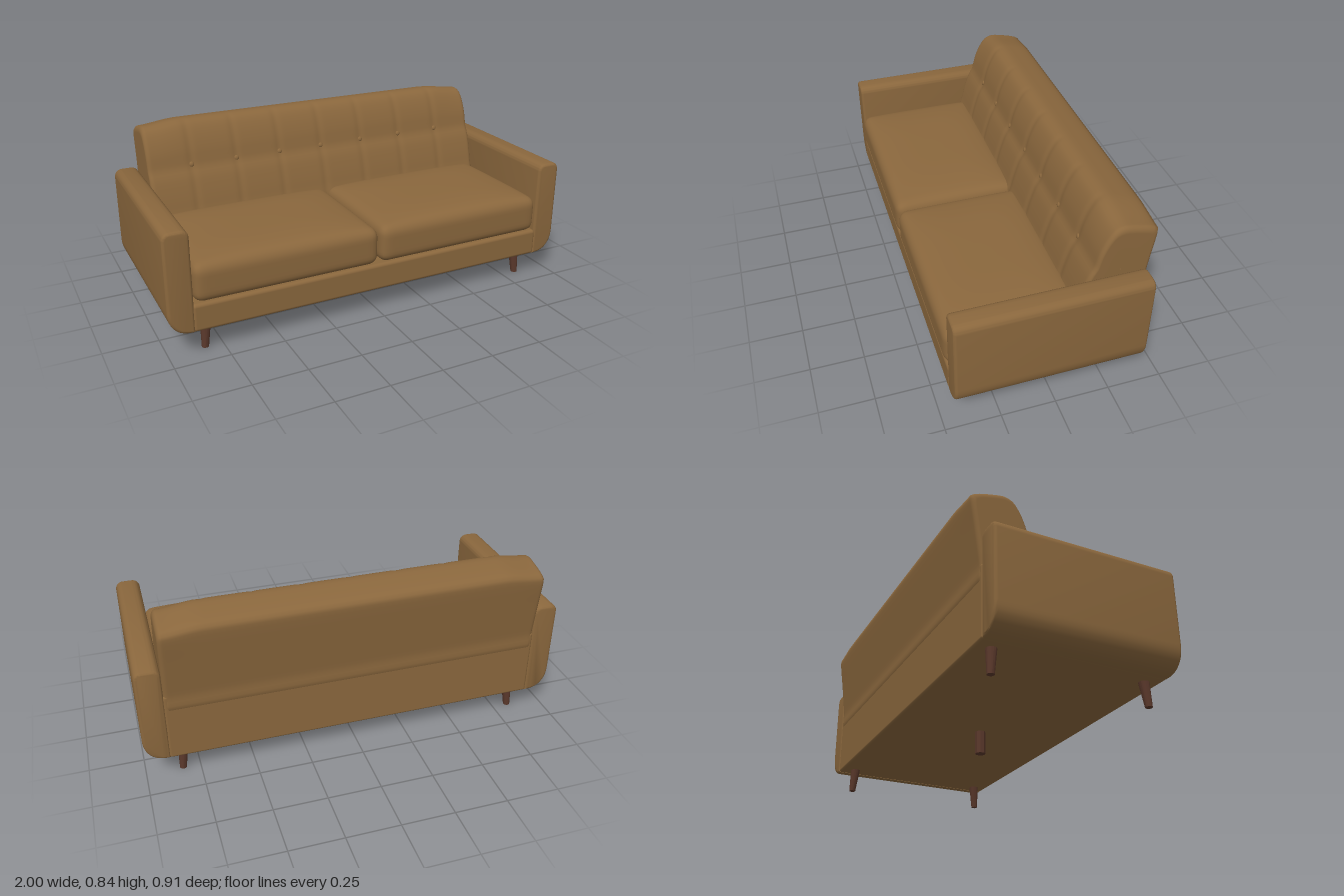
import * as THREE from 'three';
import { mergeVertices, toCreasedNormals } from 'three/addons/utils/BufferGeometryUtils.js';
import { RoundedBoxGeometry } from 'three/addons/geometries/RoundedBoxGeometry.js';

const upholstery = new THREE.MeshStandardMaterial({ color: 0x8a673d });
upholstery.name = 'tan upholstery';
const wood = new THREE.MeshStandardMaterial({ color: 0x5a382b });
wood.name = 'dark wood';

const BUTTONS = [-3, -2, -1, 0, 1, 2, 3].map(i => i * 0.225);

function addMesh(parent, name, geometry, material, x = 0, y = 0, z = 0) {
  const mesh = new THREE.Mesh(geometry, material);
  mesh.name = name;
  mesh.position.set(x, y, z);
  parent.add(mesh);
  return mesh;
}

function smooth(geometry) {
  geometry.deleteAttribute('uv');
  geometry.deleteAttribute('normal');
  const merged = mergeVertices(geometry, 1e-5);
  merged.computeVertexNormals();
  return merged;
}

// Box with rounded edges and a crowned top
function cushionGeometry(w, h, d, r, crown) {
  const geo = new THREE.BoxGeometry(2, 2, 2, 28, 16, 28);
  const pos = geo.attributes.position;
  const half = new THREE.Vector3(w / 2, h / 2, d / 2);
  const inner = half.clone().subScalar(r);
  const p = new THREE.Vector3(), core = new THREE.Vector3();
  for (let i = 0; i < pos.count; i++) {
    p.fromBufferAttribute(pos, i);
    p.set(...p.toArray().map(u => Math.sin(u * Math.PI / 2))).multiply(half);
    core.copy(p).clamp(inner.clone().negate(), inner);
    p.sub(core).setLength(r).add(core);
    const u = p.x / half.x, v = p.z / half.z;
    if (p.y > 0) p.y += crown * (1 - u ** 4) * (1 - v ** 4) * p.y / half.y;
    pos.setXYZ(i, p.x, p.y, p.z);
  }
  return smooth(geo);
}

// Backrest: side profile swept across the width, with stitched channels
function backrestGeometry() {
  const profile = [
    [-0.115, 0.36], [-0.125, 0.45], [-0.163, 0.58], [-0.187, 0.625], [-0.192, 0.645],
    [-0.207, 0.71], [-0.235, 0.78], [-0.265, 0.822], [-0.3, 0.835], [-0.36, 0.826],
    [-0.435, 0.804], [-0.455, 0.79], [-0.455, 0.765], [-0.436, 0.61], [-0.415, 0.45], [-0.405, 0.36],
  ].map(([z, y]) => new THREE.Vector3(0, y, z));
  const curve = new THREE.CatmullRomCurve3(profile, true, 'centripetal');
  const N = 72, ring = curve.getSpacedPoints(N).slice(0, N);
  const centre = new THREE.Vector2(-0.3, 0.6), W = 0.885, R = 0.022;

  // Stations: [x, scale of the ring]
  const end = [[W, 0.01], [W, 0.5]];
  for (let k = 0; k <= 6; k++) {
    const a = k / 6 * Math.PI / 2;
    end.push([W - R * (1 - Math.sin(Math.PI / 2 - a)), 1 - R * (1 - Math.sin(a)) / 0.16]);
  }
  const stations = end.map(([x, s]) => [-x, s]);
  for (let k = 1; k < 160; k++) stations.push([(W - R) * (k / 80 - 1), 1]);
  stations.push(...end.reverse());

  const verts = [], index = [];
  stations.forEach(([x, s], i) => {
    const drop = 0.02 * THREE.MathUtils.smoothstep(Math.abs(x), 0.68, W);
    const groove = BUTTONS.reduce((g, b) => g + Math.exp(-(((x - b) / 0.016) ** 2)), 0);
    ring.forEach((p, j) => {
      const front = THREE.MathUtils.smoothstep(-p.z, 0.28, 0.32);
      const upper = THREE.MathUtils.smoothstep(p.y, 0.6, 0.84);
      const seam = 0.005 * groove * (1 - front);
      const z = centre.x + (p.z - seam - centre.x) * s;
      const y = centre.y + (p.y - drop * upper - centre.y) * s;
      verts.push(x, y, z);
      if (i < stations.length - 1) {
        const n = (j + 1) % N, a = i * N + j, c = i * N + n;
        index.push(a, a + N, c, c, a + N, c + N);
      }
    });
  });
  const geo = new THREE.BufferGeometry();
  geo.setAttribute('position', new THREE.Float32BufferAttribute(verts, 3));
  geo.setIndex(index);
  geo.computeVertexNormals();
  return geo;
}

// Arm: front outline with a large lower outer curve, extruded along the depth
function armGeometry(side) {
  const b = 0.014, x0 = 0.884 + b, x1 = 1 - b, y0 = 0.115 + b, y1 = 0.59 - b, r = 0.025, R = 0.085;
  const s = new THREE.Shape();
  s.moveTo(x0 * side, y0);
  s.lineTo((x1 - R) * side, y0);
  s.bezierCurveTo((x1 - R * 0.4) * side, y0, x1 * side, y0 + R * 0.45, x1 * side, y0 + R * 1.15);
  s.lineTo(x1 * side, y1 - r);
  s.quadraticCurveTo(x1 * side, y1, (x1 - r) * side, y1);
  s.lineTo((x0 + r) * side, y1);
  s.quadraticCurveTo(x0 * side, y1, x0 * side, y1 - r);
  s.closePath();
  const geo = new THREE.ExtrudeGeometry(s, {
    depth: 0.865 - 2 * b, bevelEnabled: true, bevelSize: b, bevelThickness: b, bevelSegments: 4, curveSegments: 10,
  });
  geo.translate(0, 0, -0.415 + b);
  return toCreasedNormals(geo, 0.6);
}

// Tapered leg whose foot is shifted outward
function legGeometry(dx, dz) {
  const geo = new THREE.CylinderGeometry(0.025, 0.016, 0.13, 16);
  const pos = geo.attributes.position;
  for (let i = 0; i < pos.count; i++) {
    if (pos.getY(i) < 0) pos.setXYZ(i, pos.getX(i) + dx, pos.getY(i), pos.getZ(i) + dz);
  }
  return toCreasedNormals(geo, 0.7);
}

export function createModel() {
  const sofa = new THREE.Group();
  sofa.name = 'sofa';

  // Frame
  addMesh(sofa, 'base', new RoundedBoxGeometry(1.784, 0.13, 0.863, 4, 0.016), upholstery, 0, 0.18, 0.0185);
  addMesh(sofa, 'lowerBack', new RoundedBoxGeometry(1.776, 0.335, 0.2, 4, 0.012), upholstery, 0, 0.2825, -0.314);
  addMesh(sofa, 'backrest', backrestGeometry(), upholstery);

  // Tufting buttons
  for (const x of BUTTONS) {
    const button = addMesh(sofa, 'button', new THREE.SphereGeometry(0.012, 16, 10), upholstery, x, 0.636, -0.194);
    button.scale.z = 0.5;
    button.rotation.x = -0.3;
  }

  for (const side of [-1, 1]) {
    const label = side > 0 ? 'left' : 'right';
    addMesh(sofa, label + 'Arm', armGeometry(side), upholstery);
    addMesh(sofa, label + 'SeatCushion', cushionGeometry(0.877, 0.178, 0.617, 0.045, 0.028),
      upholstery, side * 0.4425, 0.334, 0.1485);
    addMesh(sofa, label + 'FrontLeg', legGeometry(side * 0.01, 0.009), wood, side * 0.82, 0.065, 0.375);
    addMesh(sofa, label + 'BackLeg', legGeometry(side * 0.01, -0.009), wood, side * 0.82, 0.065, -0.341);
  }

  // Middle support
  const support = new THREE.CylinderGeometry(0.025, 0.025, 0.125, 8);
  support.rotateY(Math.PI / 8);
  addMesh(sofa, 'centreLeg', toCreasedNormals(support, 0.5), wood, 0, 0.0675, 0.015);

  return sofa;
}
